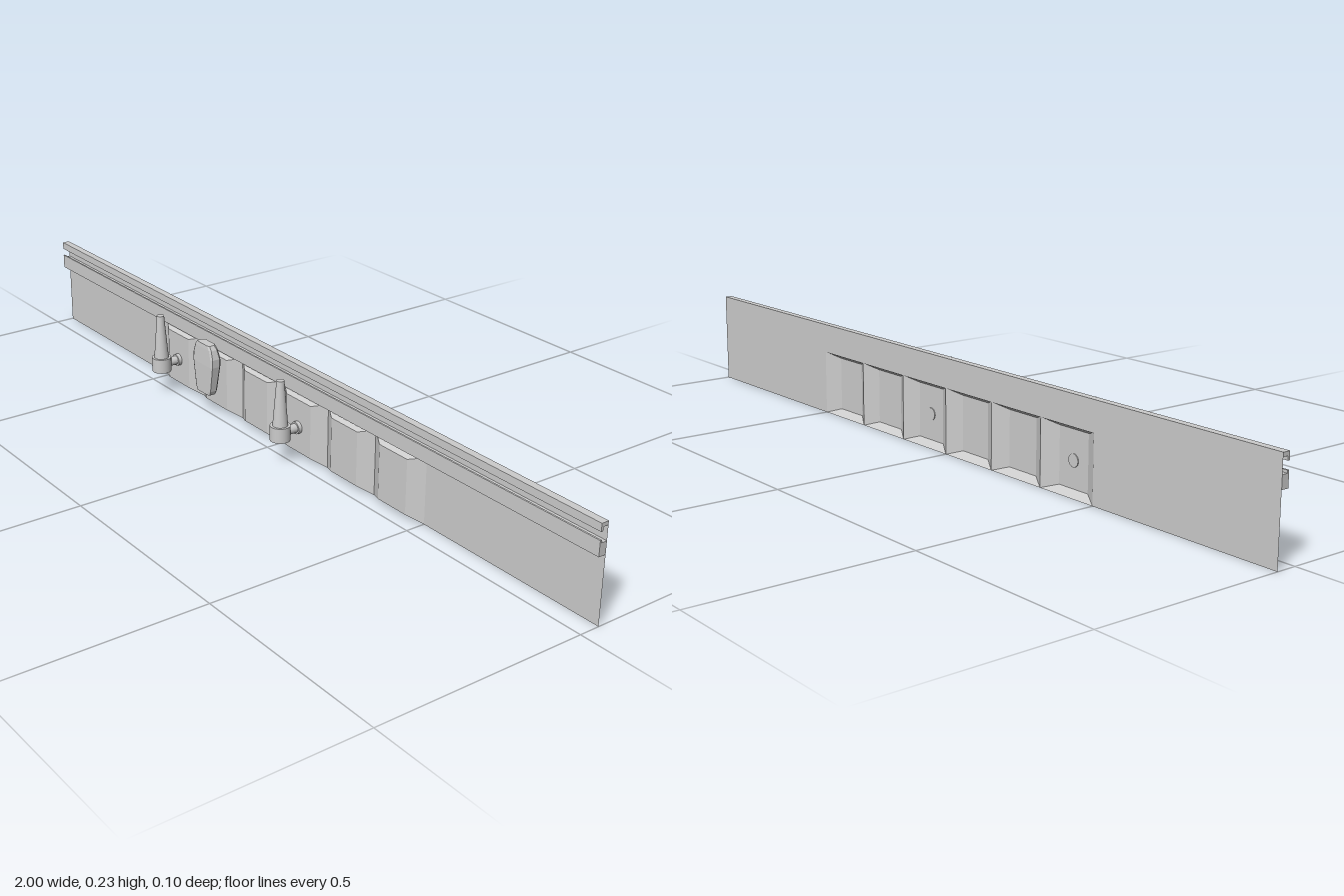
import * as THREE from 'three';

const grey = new THREE.MeshStandardMaterial({ color: 0xcccccc });
const flat = new THREE.MeshStandardMaterial({ color: 0xcccccc, flatShading: true, side: THREE.DoubleSide });
const BACK = -0.048, FACE = -0.027, PANEL_TOP = 0.157;

function add(parent, name, geometry, material, x = 0, y = 0, z = 0) {
  const mesh = new THREE.Mesh(geometry, material);
  mesh.name = name;
  mesh.position.set(x, y, z);
  parent.add(mesh);
  return mesh;
}

// Skin joining closed rings of points, optionally capped at both ends
function loft(rings, capFirst, capLast) {
  const n = rings[0].length, index = [];
  for (let r = 0; r < rings.length - 1; r++) {
    for (let i = 0; i < n; i++) {
      const a = r * n + i, b = r * n + (i + 1) % n;
      index.push(a, b, b + n, a, b + n, a + n);
    }
  }
  const last = (rings.length - 1) * n;
  for (let i = 1; i < n - 1; i++) {
    if (capFirst) index.push(0, i + 1, i);
    if (capLast) index.push(last, last + i, last + i + 1);
  }
  const g = new THREE.BufferGeometry();
  g.setAttribute('position', new THREE.Float32BufferAttribute(rings.flat(2), 3));
  g.setIndex(index);
  g.computeVertexNormals();
  return g;
}

// Raised panel with sloping edges, hollow behind
function raisedPanel(width) {
  const ring = (dx, dy, z) => {
    const w = width / 2 - dx;
    return [[-w, dy, z], [w, dy, z], [w, PANEL_TOP - dy, z], [-w, PANEL_TOP - dy, z]];
  };
  return loft([ring(0, 0, BACK), ring(0.038, 0.013, FACE)], false, true);
}

// Rail along x from a [z, y] profile
function rail(points) {
  const shape = new THREE.Shape(points.map(([z, y]) => new THREE.Vector2(-z, y)));
  const g = new THREE.ExtrudeGeometry(shape, { depth: 2, bevelEnabled: false });
  return g.translate(0, 0, -1).rotateY(Math.PI / 2);
}

// Tap: wall flange, stem, round body and tapered handle
function createTap(x) {
  const tap = new THREE.Group();
  tap.name = 'tap';
  const flange = new THREE.CylinderGeometry(0.015, 0.015, 0.011, 20).rotateX(Math.PI / 2);
  add(tap, 'wallFlange', flange, grey, 0, 0.076, -0.0235);
  const stem = new THREE.CylinderGeometry(0.011, 0.011, 0.03, 20).rotateX(Math.PI / 2);
  add(tap, 'stem', stem, grey, 0, 0.076, -0.005);
  add(tap, 'tapBody', new THREE.CylinderGeometry(0.024, 0.024, 0.036, 24), grey, 0, 0.077, 0.024);
  add(tap, 'taperedHandle', new THREE.CylinderGeometry(0.009, 0.018, 0.11, 24), grey, 0, 0.15, 0.024);
  tap.position.x = x;
  return tap;
}

// Faceted paddle: rows of height, half width, front z and back z
function paddleGeometry() {
  const rows = [
    [0.055, 0.027, 0.014, -0.011], [0.065, 0.031, 0.014, -0.012],
    [0.130, 0.041, 0.014, -0.016], [0.150, 0.041, 0.013, -0.016],
    [0.172, 0.034, 0.012, -0.013], [0.182, 0.026, 0.011, -0.011],
  ];
  const c = 0.006;
  return loft(rows.map(([y, w, f, b]) => [
    [-w, y, f - c / 2], [-w + c, y, f], [w - c, y, f], [w, y, f - c / 2],
    [w, y, b + c], [w - c, y, b], [-w + c, y, b], [-w, y, b + c],
  ]), true, true);
}

export function createModel() {
  const model = new THREE.Group();
  model.name = 'wallStrip';

  // Plain boards on both sides
  for (const side of [-1, 1]) {
    add(model, 'plainBoard', new THREE.PlaneGeometry(0.5, PANEL_TOP), flat, side * 0.75, PANEL_TOP / 2, BACK);
  }

  // Row of raised panels
  for (let i = 0; i < 6; i++) {
    add(model, 'raisedPanel', raisedPanel(1 / 6), flat, -0.5 + (i + 0.5) / 6);
  }

  // Grooved trim along the top, with a sheet closing the groove behind
  add(model, 'lowerRail', rail([
    [BACK, 0.156], [-0.03, 0.156], [-0.03, 0.191], [-0.034, 0.191], [-0.034, 0.185], [BACK, 0.185],
  ]), grey);
  add(model, 'upperRail', rail([
    [BACK, 0.218], [-0.035, 0.218], [-0.035, 0.209], [-0.03, 0.209], [-0.03, 0.227], [BACK, 0.227],
  ]), grey);
  add(model, 'grooveBack', new THREE.PlaneGeometry(2, 0.033), flat, 0, 0.2015, BACK);

  // Fittings
  model.add(createTap(-0.417), createTap(0.083));
  add(model, 'paddle', paddleGeometry(), flat, -0.25);
  return model;
}
